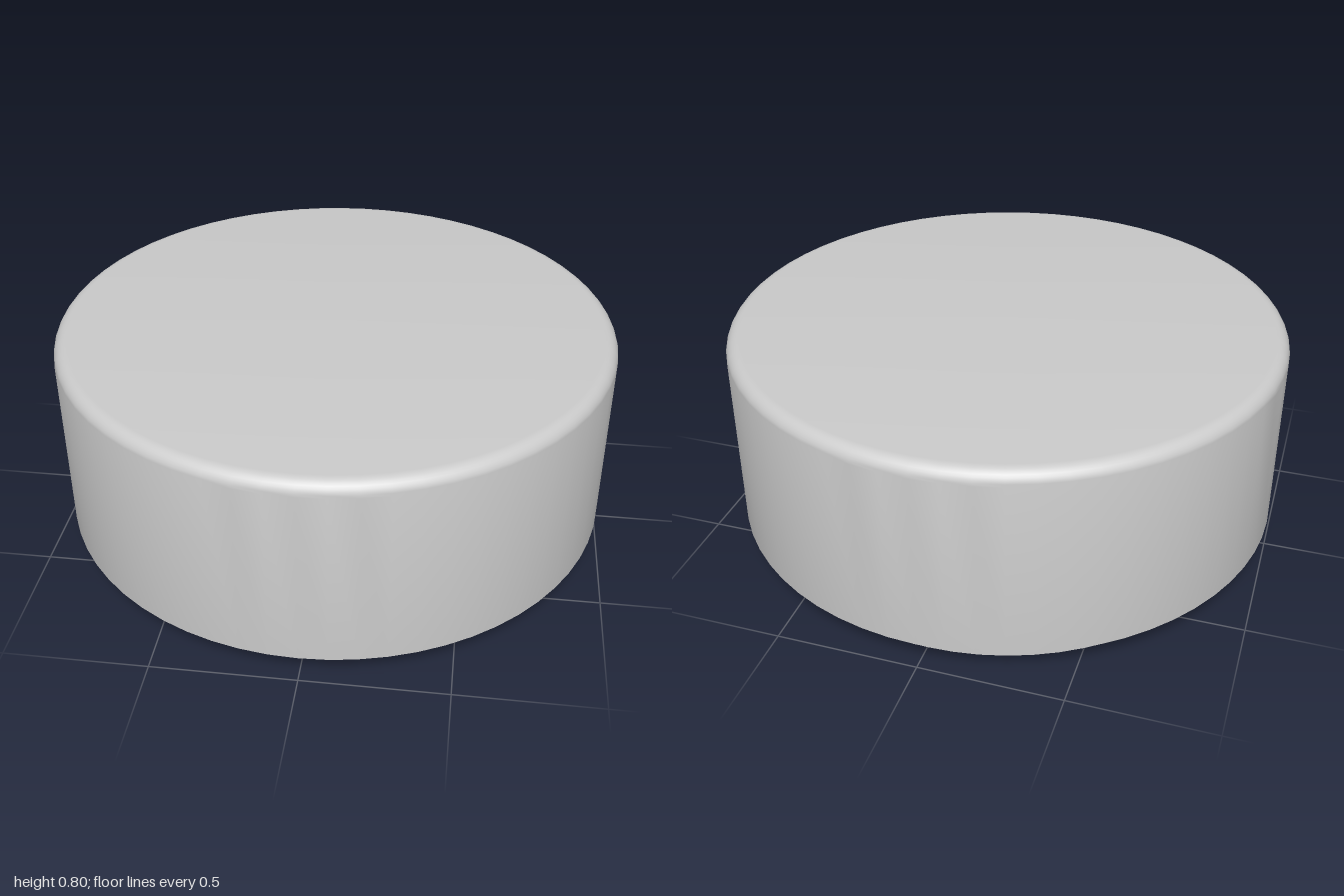
import * as THREE from 'three';
import { toCreasedNormals } from 'three/addons/utils/BufferGeometryUtils.js';

const SEGMENTS = 64;
const material = new THREE.MeshStandardMaterial({ color: 0xcccccc });

// Revolve a profile about y, keeping its corners sharp
function turned(name, profile) {
  const points = profile.map(([r, y]) => new THREE.Vector2(r, y));
  const geometry = toCreasedNormals(new THREE.LatheGeometry(points, SEGMENTS), Math.PI / 6);
  const mesh = new THREE.Mesh(geometry, material);
  mesh.name = name;
  return mesh;
}

export function createModel() {
  const group = new THREE.Group();
  group.name = 'roundFoot';

  // Rounded top edge
  const fillet = 0.05, steps = 8;
  const edge = [];
  for (let i = 0; i <= steps; i++) {
    const a = (i / steps) * Math.PI / 2;
    edge.push([1 - fillet + fillet * Math.cos(a), 0.8 - fillet + fillet * Math.sin(a)]);
  }

  // Main drum: underside step, side wall, rounded edge and flat top
  group.add(turned('body', [[0.9, 0.1], [1, 0.1], ...edge, [0, 0.8]]));

  // Narrower base ring with the blind round recess in its underside
  group.add(turned('baseRing', [[0, 0.4], [0.6, 0.4], [0.6, 0], [0.9, 0], [0.9, 0.1]]));

  return group;
}
